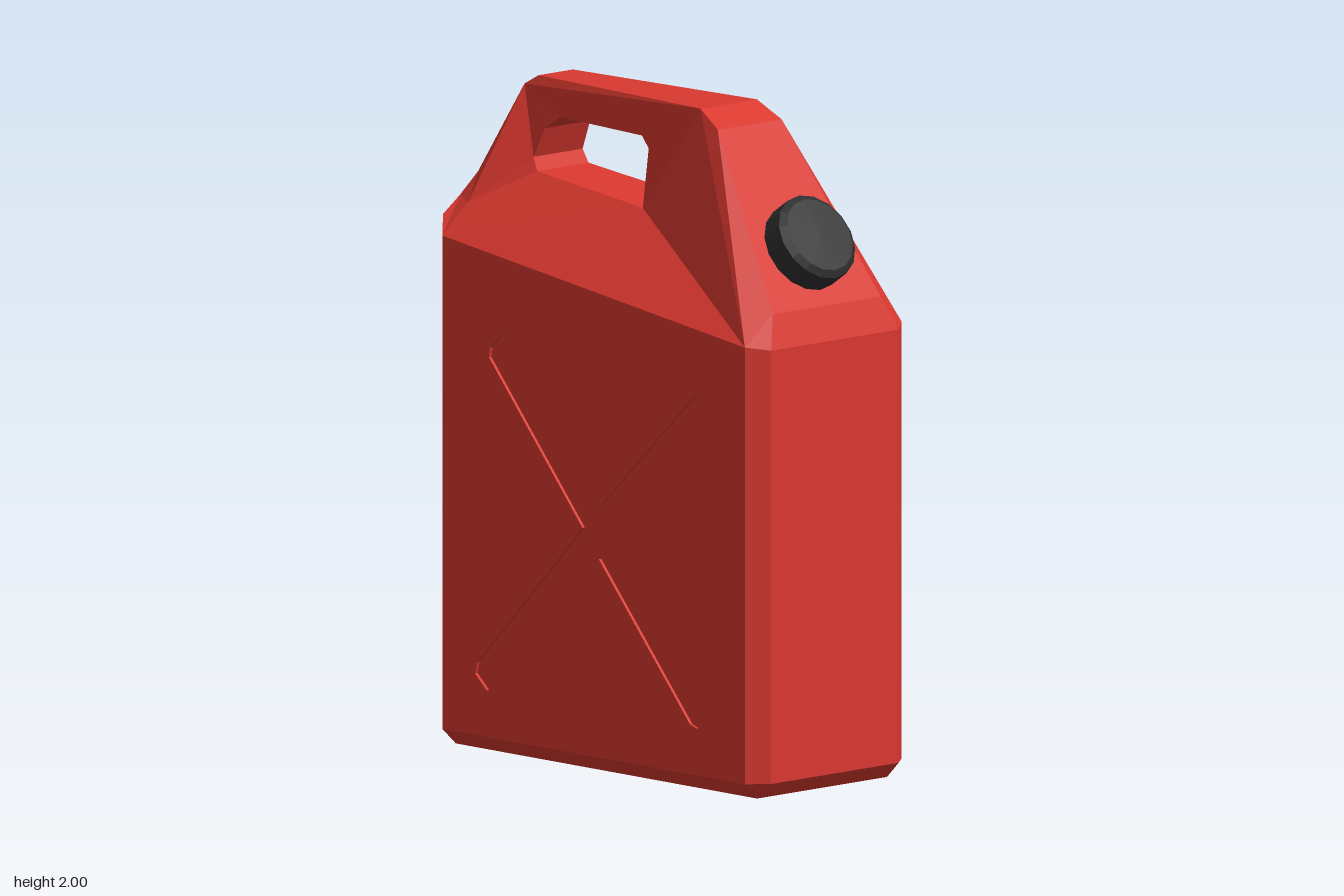
import * as THREE from 'three';

const V = (x, y, z) => new THREE.Vector3(x, y, z);
const flip = (p) => V(p.x, p.y, -p.z);
const FRONT = V(0, 0, 1);

// Collects flat faces; each face is turned to look along the given outward direction
function faceBuilder() {
  const out = [];
  const tri = (a, b, c, n) => {
    const normal = b.clone().sub(a).cross(c.clone().sub(a));
    const t = normal.dot(n) < 0 ? [a, c, b] : [a, b, c];
    t.forEach((p) => out.push(p.x, p.y, p.z));
  };
  const face = (pts, n) => {
    for (let i = 1; i < pts.length - 1; i++) tri(pts[0], pts[i], pts[i + 1], n);
  };
  // Same face on the front and the back half
  const pair = (pts, n) => {
    face(pts, n);
    face(pts.map(flip), flip(n));
  };
  // Concave or pierced outline, triangulated in x and y, on both halves
  const sheet = (outline, hole = []) => {
    const all = [...outline, ...hole];
    const to2 = (p) => new THREE.Vector2(p.x, p.y);
    const holes = hole.length ? [hole.map(to2)] : [];
    THREE.ShapeUtils.triangulateShape(outline.map(to2), holes)
      .forEach((t) => pair(t.map((i) => all[i]), FRONT));
  };
  // Faces spanning from the front half to the back half along a path
  const bridge = (path, normalAt) => {
    for (let i = 0; i < path.length - 1; i++) {
      const [a, b] = [path[i], path[i + 1]];
      face([a, b, flip(b), flip(a)], normalAt(a, b));
    }
  };
  const mesh = (name, material) => {
    const g = new THREE.BufferGeometry();
    g.setAttribute('position', new THREE.Float32BufferAttribute(out, 3));
    g.computeVertexNormals();
    const m = new THREE.Mesh(g, material);
    m.name = name;
    return m;
  };
  return { face, pair, sheet, bridge, mesh };
}

export function createModel() {
  const red = new THREE.MeshStandardMaterial({ color: 0xd9382f });
  red.name = 'red plastic';
  const black = new THREE.MeshStandardMaterial({ color: 0x2f2f2f });
  black.name = 'black plastic';
  const group = new THREE.Group();
  group.name = 'fuelCan';

  // Key corners on the front half
  const sideL0 = V(-0.65, 0.05, 0.32), sideR0 = V(0.645, 0.05, 0.32);
  const sideL1 = V(-0.65, 1.53, 0.32), sideR1 = V(0.645, 1.36, 0.32);
  const endL0 = V(-0.71, 0.05, 0.26), endR0 = V(0.695, 0.05, 0.26);
  const endL1 = V(-0.71, 1.58, 0.26), endR1 = V(0.695, 1.35, 0.26);
  const footL = V(-0.65, 0, 0.265), footR = V(0.64, 0, 0.265);
  const endTop = V(-0.71, 1.63, 0.19), legFoot = V(-0.675, 1.7, 0.15);
  const shoulderL = V(-0.64, 1.62, 0.225), slopeFoot = V(0.66, 1.45, 0.22);
  const slopeTop = V(0.33, 1.95, 0.13), topR = V(0.24, 2, 0.115);
  const topL = V(-0.5, 2, 0.07), legTop = V(-0.55, 1.97, 0.08);
  const hole = [
    [-0.47, 1.72, 0.105], [-0.49, 1.76, 0.1], [-0.45, 1.85, 0.092], [-0.39, 1.89, 0.086],
    [-0.02, 1.885, 0.106], [0.01, 1.85, 0.107], [-0.01, 1.67, 0.112],
  ].map((p) => V(...p));
  const sillL = hole[0], sillR = hole[6];

  // Cross outline pressed into both broad sides
  const cross = [
    [0.03, 0.81], [0.43, 1.19], [0.455, 1.19], [0.5, 1.14], [0.49, 1.1],
    [0.105, 0.73], [0.49, 0.27], [0.485, 0.24], [0.44, 0.19], [0.41, 0.2],
    [0.02, 0.645], [-0.43, 0.2], [-0.46, 0.19], [-0.51, 0.235], [-0.5, 0.27],
    [-0.05, 0.73], [-0.45, 1.19], [-0.445, 1.22], [-0.4, 1.265], [-0.37, 1.255],
  ].map(([x, y]) => V(x, y, 0.32));
  const floor = cross.map((p) => V(p.x, p.y, 0.31));

  // Tank: sides, chamfered corners, ends and bottom
  const tank = faceBuilder();
  tank.sheet([sideL0, sideR0, sideR1, sideL1], cross);
  tank.pair([sideL0, sideL1, endL1, endL0], V(-1, 0, 1));
  tank.pair([sideR0, sideR1, endR1, endR0], V(1, 0, 1));
  tank.bridge([endL0, endL1, endTop], () => V(-1, 0, 0));
  tank.bridge([endR0, endR1], () => V(1, 0, 0));
  tank.pair([sideL0, sideR0, footR, footL], V(0, -1, 1));
  tank.pair([sideL0, endL0, footL], V(-1, -1, 1));
  tank.pair([sideR0, endR0, footR], V(1, -1, 1));
  tank.bridge([endL0, footL], () => V(-1, -1, 0));
  tank.bridge([endR0, footR], () => V(1, -1, 0));
  tank.bridge([footL, footR], () => V(0, -1, 0));
  group.add(tank.mesh('tank', red));

  // Recessed cross: floor and low walls
  const recess = faceBuilder();
  recess.sheet(floor);
  cross.forEach((a, i) => {
    const j = (i + 1) % cross.length, b = cross[j];
    // outline runs clockwise, so its inner side lies to the right
    recess.pair([a, b, floor[j], floor[i]], V(b.y - a.y, a.x - b.x, 0));
  });
  group.add(recess.mesh('crossRecess', red));

  // Shoulders and the sloped spout face
  const shoulder = faceBuilder();
  shoulder.sheet([sideL1, sideR1, sillR, sillL, shoulderL]);
  shoulder.sheet([sideR1, slopeTop, topR, sillR]);
  shoulder.pair([sideL1, shoulderL, endTop, endL1], V(-1, 1, 1));
  shoulder.pair([shoulderL, legFoot, endTop], V(-1, 1, 1));
  shoulder.pair([sideR1, endR1, slopeFoot], V(1, 0.5, 0.5));
  shoulder.pair([sideR1, slopeFoot, slopeTop], V(1, 0.5, 0.5));
  shoulder.bridge([endR1, slopeFoot, slopeTop, topR], () => V(1, 0.7, 0));
  group.add(shoulder.mesh('shoulder', red));

  // Handle with its grip opening
  const handle = faceBuilder();
  handle.sheet([shoulderL, ...hole, topR, topL, legTop, legFoot]);
  handle.bridge([endTop, legFoot, legTop, topL], () => V(-1, 0.7, 0));
  handle.bridge([topL, topR], () => V(0, 1, 0));
  handle.bridge([...hole, hole[0]], (a, b) => V(b.y - a.y, a.x - b.x, 0));
  group.add(handle.mesh('handle', red));

  // Screw cap, square to the slope
  const profile = [[0.138, -0.04], [0.138, 0.085], [0.118, 0.1], [0, 0.103]]
    .map((p) => new THREE.Vector2(...p));
  const capShape = new THREE.LatheGeometry(profile, 16).toNonIndexed();
  capShape.computeVertexNormals();
  const cap = new THREE.Mesh(capShape, black);
  cap.name = 'cap';
  cap.position.set(0.548, 1.602, 0);
  cap.rotation.z = -0.977;
  group.add(cap);

  return group;
}
